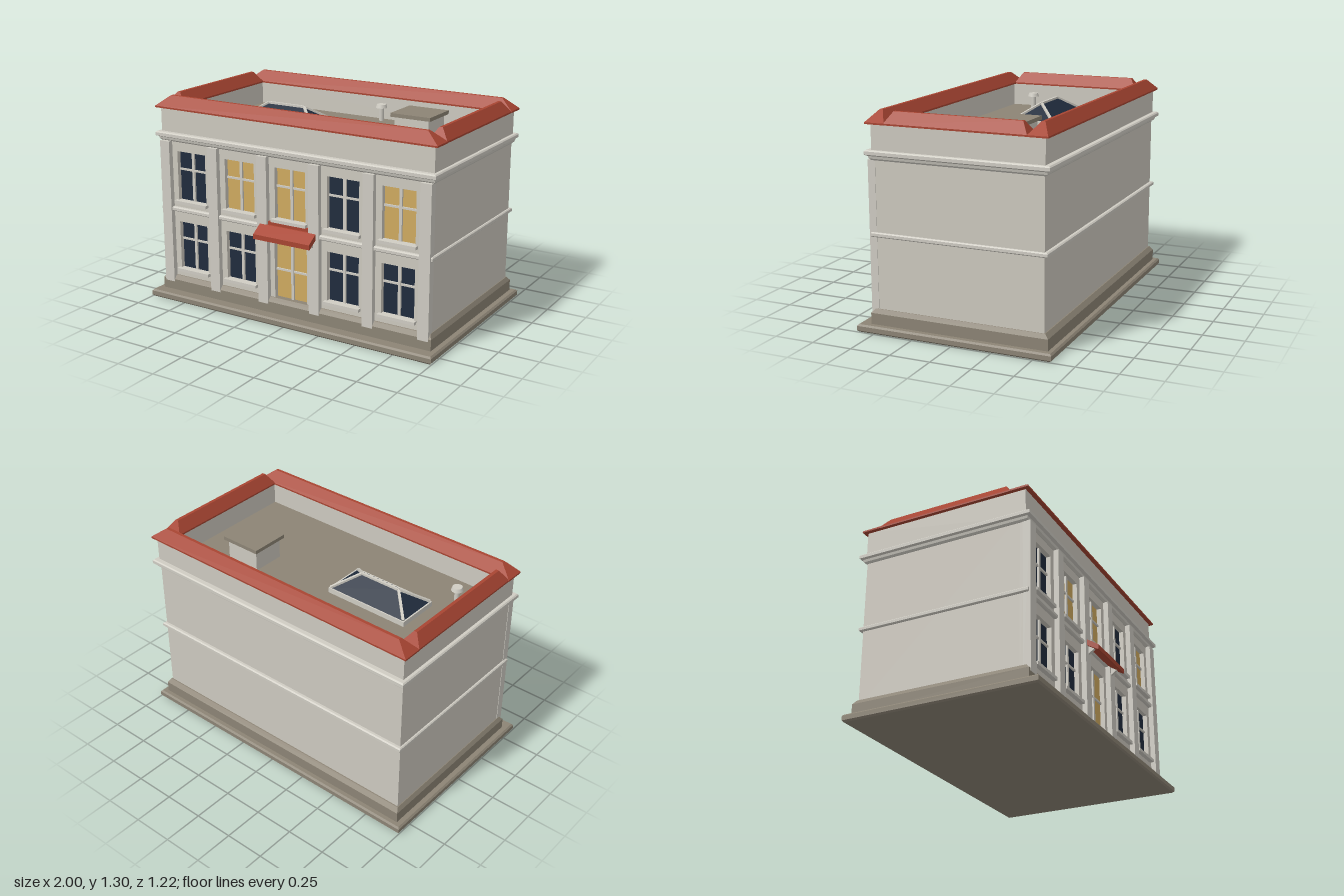
import * as THREE from 'three';

const mat = (name, hex) => {
  const m = new THREE.MeshStandardMaterial({ color: hex });
  m.name = name;
  return m;
};

export function createModel() {
  const root = new THREE.Group();
  root.name = 'townHall';
  const wall = mat('paleStone', 0xcdc9bf);
  const trim = mat('lightTrim', 0xcfccc3);
  const base = mat('taupeStone', 0x8c8475);
  const red = mat('redTile', 0xa84532);
  const dark = mat('darkGlass', 0x202c3d);
  const lit = mat('warmGlass', 0xcfaa60);

  const add = (name, geo, material, x = 0, y = 0, z = 0) => {
    const m = new THREE.Mesh(geo, material);
    m.name = name;
    m.position.set(x, y, z);
    root.add(m);
    return m;
  };
  // box given by its limits
  const block = (name, material, x0, x1, y0, y1, z0, z1) =>
    add(name, new THREE.BoxGeometry(x1 - x0, y1 - y0, z1 - z0), material,
      (x0 + x1) / 2, (y0 + y1) / 2, (z0 + z1) / 2);
  // box whose top has its own width and depth
  const taper = (w, d, h, tw, td) => {
    const g = new THREE.BoxGeometry(w, h, d);
    const p = g.attributes.position;
    for (let i = 0; i < p.count; i++) {
      if (p.getY(i) > 0) p.setXYZ(i, Math.sign(p.getX(i)) * tw / 2, h / 2, Math.sign(p.getZ(i)) * td / 2);
    }
    g.computeVertexNormals();
    return g;
  };
  // stacked tapered rings around the building: [halfX, halfZ, y] per level
  const moulding = (name, material, levels, z) => {
    for (let i = 0; i < levels.length - 1; i++) {
      const [x0, z0, y0] = levels[i], [x1, z1, y1] = levels[i + 1];
      add(name, taper(x0 * 2, z0 * 2, y1 - y0, x1 * 2, z1 * 2), material, 0, (y0 + y1) / 2, z);
    }
  };

  const CZ = -0.02; // the building sits slightly behind the slab centre
  const FRONT = 0.505;

  // base and plinth
  moulding('baseSlab', base, [[0.99, 0.60, 0], [1, 0.61, 0.01], [1, 0.61, 0.037], [0.99, 0.60, 0.047]], 0);
  moulding('plinth', base, [[0.96, 0.555, 0.045], [0.96, 0.555, 0.115], [0.945, 0.532, 0.14]], CZ);

  // main body, with a pierced front wall before it
  block('body', wall, -0.94, 0.94, 0.1, 1.065, -0.545, 0.47);
  const rect = (Type, x0, x1, y0, y1) => {
    const s = new Type();
    s.moveTo(x0, y0); s.lineTo(x1, y0); s.lineTo(x1, y1); s.lineTo(x0, y1); s.closePath();
    return s;
  };
  const openings = [];
  for (let c = -2; c <= 2; c++) {
    const x = c * 0.364;
    openings.push({ x, w: 0.107, y0: 0.64, y1: 0.96, bar: 0.843, glass: [-1, 0, 2].includes(c) ? lit : dark, sill: true });
    openings.push(c === 0
      ? { x, w: 0.115, y0: 0.138, y1: 0.49, bar: 0.32, glass: lit, sill: false }
      : { x, w: 0.107, y0: 0.19, y1: 0.503, bar: 0.388, glass: dark, sill: true });
  }
  const face = rect(THREE.Shape, -0.94, 0.94, 0.12, 1.06);
  for (const o of openings) face.holes.push(rect(THREE.Path, o.x - o.w, o.x + o.w, o.y0, o.y1));
  add('frontWall', new THREE.ExtrudeGeometry(face, { depth: FRONT - 0.47, bevelEnabled: false }), wall, 0, 0, 0.47);

  // glass, glazing bars and sills
  for (const o of openings) {
    const kind = o.sill ? 'window' : 'door';
    block(kind + 'Glass', o.glass, o.x - o.w, o.x + o.w, o.y0, o.y1, 0.468, 0.476);
    block(kind + 'Mullion', trim, o.x - 0.009, o.x + 0.009, o.y0, o.y1, 0.47, 0.488);
    block(kind + 'Transom', trim, o.x - o.w, o.x + o.w, o.bar - 0.006, o.bar + 0.006, 0.47, 0.486);
    if (o.sill) block('windowSill', trim, o.x - 0.122, o.x + 0.122, o.y0 - 0.013, o.y0 + 0.006, 0.48, 0.533);
  }

  // pilasters
  for (const x of [0.182, 0.545, 0.908]) {
    for (const s of [-1, 1]) block('pilaster', trim, s * x - 0.035, s * x + 0.035, 0.1, 1.022, 0.49, 0.537);
  }

  // string course and cornice
  moulding('stringCourse', trim, [[0.948, 0.54, 0.572], [0.954, 0.548, 0.578], [0.954, 0.548, 0.594], [0.948, 0.54, 0.6]], CZ);
  moulding('cornice', trim, [[0.945, 0.53, 1.02], [0.953, 0.543, 1.03], [0.957, 0.547, 1.045],
    [0.969, 0.565, 1.053], [0.969, 0.565, 1.072], [0.962, 0.557, 1.079]], CZ);

  // parapet ring and flat roof
  const ring = rect(THREE.Shape, -0.945, 0.945, -0.51, 0.55);
  ring.holes.push(rect(THREE.Path, -0.87, 0.87, -0.43, 0.475));
  const ringGeo = new THREE.ExtrudeGeometry(ring, { depth: 0.185, bevelEnabled: false });
  ringGeo.rotateX(-Math.PI / 2);
  add('parapet', ringGeo, wall, 0, 1.05, 0);
  block('roofDeck', base, -0.87, 0.87, 1.074, 1.083, -0.475, 0.43);

  // hipped tile copings
  const coping = (name, x, z, w, d, tw, td) => {
    add(name, new THREE.BoxGeometry(w, 0.01, d), red, x, 1.233, z);
    add(name, taper(w, d, 0.065, tw, td), red, x, 1.2705, z);
  };
  coping('frontCoping', 0, 0.473, 1.94, 0.125, 1.77, 0.02);
  coping('backCoping', 0, -0.513, 1.94, 0.122, 1.77, 0.02);
  for (const s of [-1, 1]) coping('sideCoping', s * 0.909, -0.018, 0.118, 0.868, 0.02, 0.785);

  // door canopy and its brackets
  const profile = (pts, width) => {
    const g = new THREE.ExtrudeGeometry(new THREE.Shape(pts.map(([z, y]) => new THREE.Vector2(z, y))),
      { depth: width, bevelEnabled: false });
    g.rotateY(-Math.PI / 2); // profile x becomes z, width runs toward -x
    return g;
  };
  add('doorCanopy', profile([[0.5, 0.592], [0.6, 0.53], [0.608, 0.53], [0.608, 0.56], [0.537, 0.607], [0.5, 0.607]], 0.394), red, 0.197);
  block('canopyTop', red, -0.147, 0.147, 0.6, 0.626, 0.5, 0.525);
  for (const s of [-1, 1]) {
    add('canopyBracket', profile([[0.53, 0.515], [0.582, 0.55], [0.53, 0.575]], 0.02), trim, s * 0.17 + 0.01);
  }

  // skylight: kerb, hipped glass, ridge and hip bars
  const sky = new THREE.Vector3(-0.378, 1.115, -0.032);
  block('skylightKerb', trim, sky.x - 0.277, sky.x + 0.277, 1.07, sky.y, sky.z - 0.137, sky.z + 0.137);
  add('skylightGlass', taper(0.535, 0.257, 0.09, 0.265, 0.001), dark, sky.x, sky.y + 0.045, sky.z);
  const bar = (name, a, b) => {
    const m = add(name, new THREE.BoxGeometry(0.016, 0.016, a.distanceTo(b)), trim);
    m.position.copy(a).add(b).multiplyScalar(0.5);
    m.lookAt(b);
  };
  const at = (x, y, z) => new THREE.Vector3(x, y, z).add(sky);
  bar('skylightRidge', at(-0.133, 0.09, 0), at(0.133, 0.09, 0));
  for (const sx of [-1, 1]) {
    for (const sz of [-1, 1]) bar('skylightHip', at(sx * 0.133, 0.09, 0), at(sx * 0.267, 0.002, sz * 0.128));
  }

  // roof hatch
  block('hatchBox', wall, 0.385, 0.612, 1.07, 1.215, -0.268, -0.06);
  block('hatchLid', base, 0.365, 0.632, 1.215, 1.238, -0.288, -0.04);

  // roof vents
  for (const [x, z] of [[0.09, -0.425], [0.733, -0.41], [-0.74, 0.232]]) {
    add('ventPipe', new THREE.CylinderGeometry(0.016, 0.016, 0.1, 16), trim, x, 1.12, z);
    add('ventCap', new THREE.CylinderGeometry(0.03, 0.037, 0.022, 20), trim, x, 1.178, z);
  }
  return root;
}
